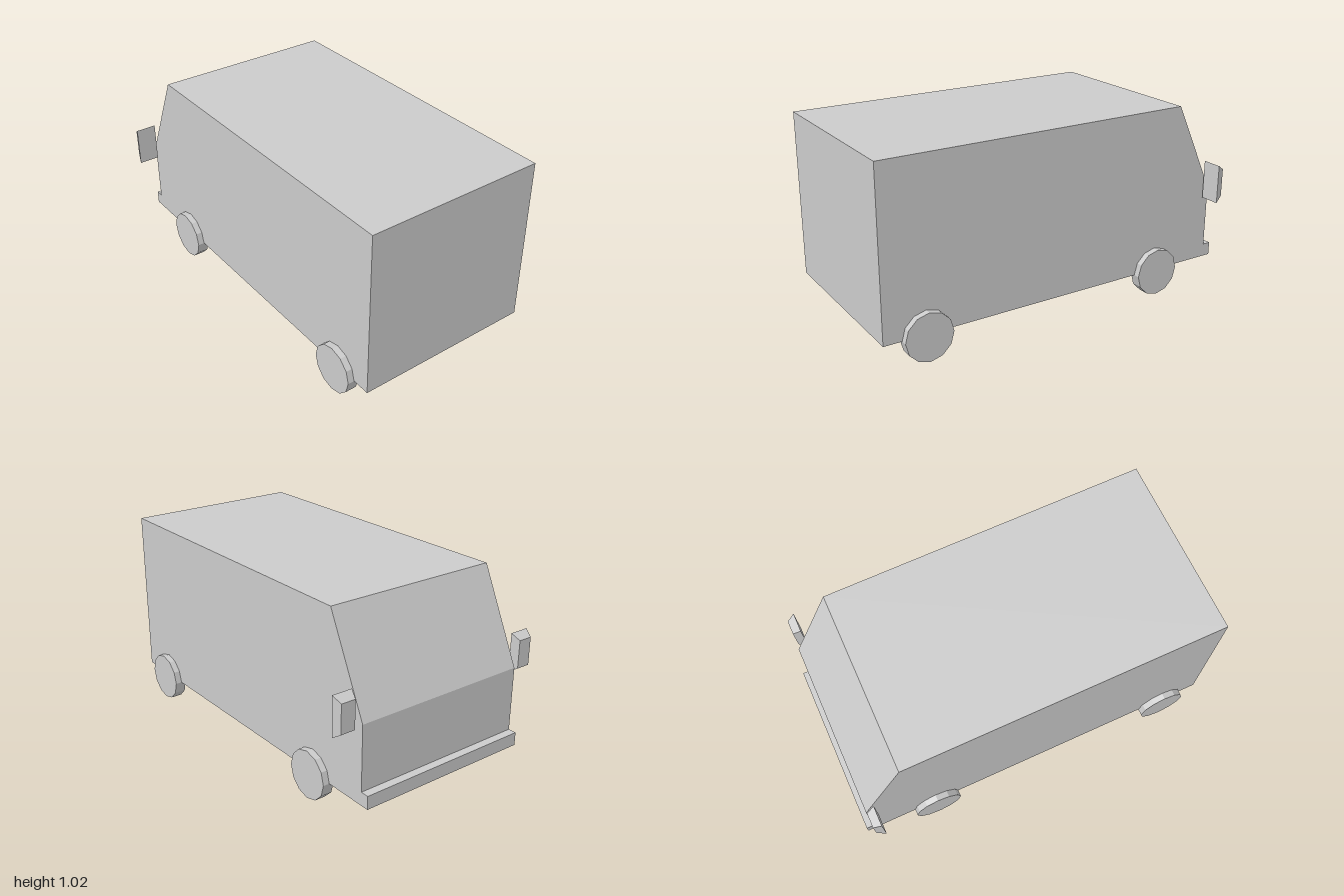
import * as THREE from 'three';

const material = new THREE.MeshStandardMaterial({ color: 0xcccccc, flatShading: true });

function addPart(parent, name, geometry, x = 0, y = 0, z = 0) {
  const mesh = new THREE.Mesh(geometry, material);
  mesh.name = name;
  mesh.position.set(x, y, z);
  parent.add(mesh);
  return mesh;
}

// Box whose -z face shrinks towards its centre
function taperedBox(width, height, depth, ratio) {
  const geometry = new THREE.BoxGeometry(width, height, depth);
  const p = geometry.attributes.position;
  for (let i = 0; i < p.count; i++) {
    if (p.getZ(i) < 0) p.setXY(i, p.getX(i) * ratio, p.getY(i) * ratio);
  }
  geometry.computeVertexNormals();
  return geometry;
}

export function createModel() {
  const van = new THREE.Group();
  van.name = 'van';

  // Body with sloped windscreen and bumper step, as a side profile of (z, y)
  const width = 0.966;
  const profile = [
    [1, 0.13], [1, 1.02], [-0.727, 1.02], [-0.956, 0.54],
    [-0.956, 0.2], [-1, 0.2], [-1, 0.13],
  ];
  const shape = new THREE.Shape(profile.map(([z, y]) => new THREE.Vector2(-z, y)));
  const body = new THREE.ExtrudeGeometry(shape, { depth: width, bevelEnabled: false });
  body.translate(0, 0, -width / 2);
  body.rotateY(Math.PI / 2); // profile x becomes -z
  addPart(van, 'body', body);

  // Twelve-sided wheels with a corner at the top
  const wheel = new THREE.CylinderGeometry(0.128, 0.128, 0.061, 12);
  wheel.rotateZ(Math.PI / 2);
  const mirror = taperedBox(0.108, 0.207, 0.044, 0.72);

  for (const side of [-1, 1]) {
    const label = side > 0 ? 'left' : 'right';
    addPart(van, label + 'FrontWheel', wheel, side * 0.487, 0.13, 0.775);
    addPart(van, label + 'RearWheel', wheel, side * 0.487, 0.13, -0.596);
    // Tapered mirrors floating beside the windscreen
    addPart(van, label + 'Mirror', mirror, side * 0.557, 0.597, -0.925);
  }
  return van;
}
